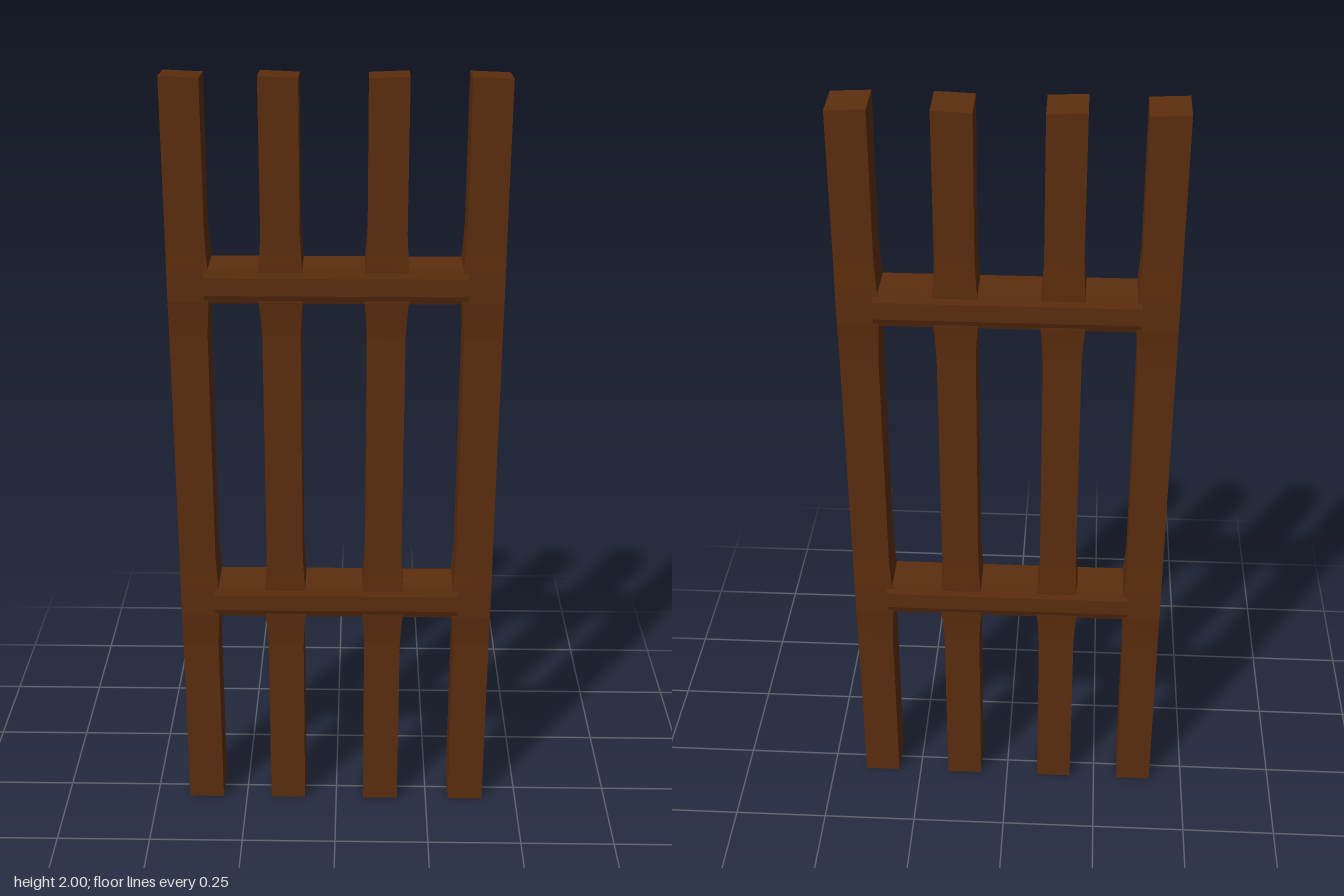
import * as THREE from 'three';

const RAILS = [0.627, 1.498];
// distance from rail centre and how far the joint swells there (0..1)
const FLARE = [[-0.13, 0], [-0.08, 0.45], [-0.04, 1], [0.04, 1], [0.08, 0.45], [0.13, 0]];

// Upright whose chosen sides swell softly around each rail joint
function makePost(x0, x1, flareLeft, flareRight, tilt) {
  const rows = [[0, 0]];
  for (const r of RAILS) for (const [d, f] of FLARE) rows.push([r + d, f]);
  rows.push([2, 0]);
  const n = rows.length - 1;
  const geo = new THREE.BoxGeometry(1, 1, 1, 1, n, 1);
  const p = geo.attributes.position;
  for (let i = 0; i < p.count; i++) {
    const k = Math.round((p.getY(i) + 0.5) * n);
    const [y, f] = rows[k];
    const right = p.getX(i) > 0, front = p.getZ(i) > 0;
    const x = right ? x1 + f * flareRight : x0 - f * flareLeft;
    const z = (front ? 1 : -1) * (0.054 + f * 0.005);
    // tops are cut slightly out of square
    const drop = k === n ? (front ? 0 : 0.006) + (right === tilt > 0 ? 0 : 0.004) : 0;
    p.setXYZ(i, x, y - drop, z);
  }
  geo.computeVertexNormals();
  return geo;
}

// Cross rail with softly bowed front and back faces
function makeRail() {
  const s = new THREE.Shape();
  const half = [[0.056, -0.043], [0.064, -0.022], [0.064, 0.022], [0.056, 0.043]];
  half.forEach(([z, y], i) => (i ? s.lineTo(z, y) : s.moveTo(z, y)));
  half.slice().reverse().forEach(([z, y]) => s.lineTo(-z, y));
  const geo = new THREE.ExtrudeGeometry(s, { depth: 0.64, bevelEnabled: false });
  geo.translate(0, 0, -0.32);
  geo.rotateY(Math.PI / 2);
  return geo;
}

export function createModel() {
  const group = new THREE.Group();
  group.name = 'woodenFence';
  const wood = new THREE.MeshStandardMaterial({ color: 0x5c2d0e, flatShading: true });
  wood.name = 'darkWood';

  const add = (name, geo, y = 0) => {
    const mesh = new THREE.Mesh(geo, wood);
    mesh.name = name;
    mesh.position.y = y;
    group.add(mesh);
  };

  // Uprights: the outer pair swells only on its inner side
  add('outerPostRight', makePost(-0.409, -0.315, 0, 0.006, -1));
  add('innerPostRight', makePost(-0.181, -0.087, 0.006, 0.006, -1));
  add('innerPostLeft', makePost(0.075, 0.17, 0.006, 0.006, 1));
  add('outerPostLeft', makePost(0.312, 0.407, 0.006, 0, -1));

  // Cross rails
  const rail = makeRail();
  RAILS.forEach((y, i) => add(i ? 'upperRail' : 'lowerRail', rail, y));
  return group;
}
